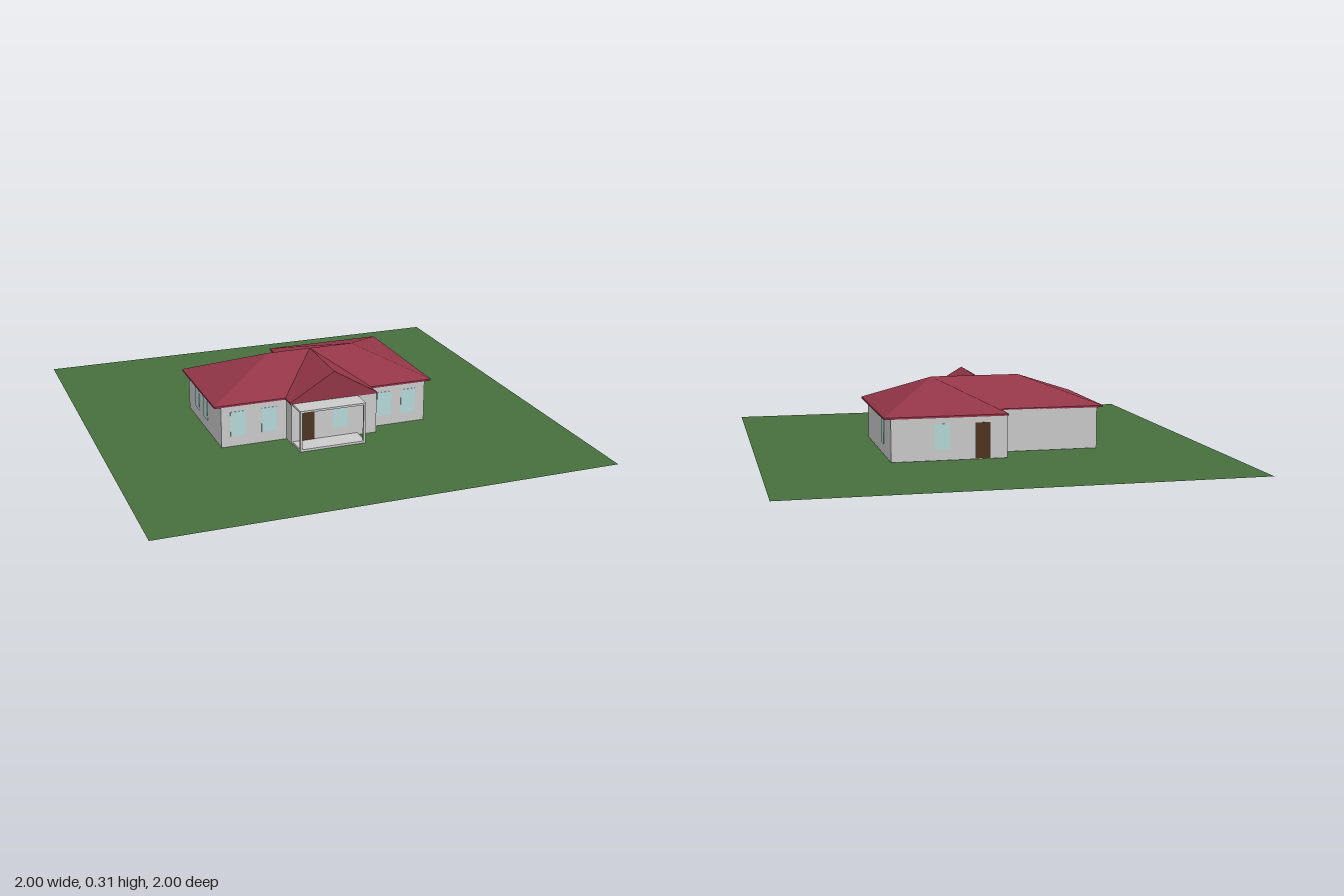
import * as THREE from 'three';

const paint = (color, side = THREE.FrontSide) =>
  new THREE.MeshStandardMaterial({ color, side, flatShading: true });

// Vertical prism over a floor outline given as [x, z] corners
function prism(outline, y0, y1) {
  const shape = new THREE.Shape(outline.map(([x, z]) => new THREE.Vector2(x, -z)));
  const geo = new THREE.ExtrudeGeometry(shape, { depth: y1 - y0, bevelEnabled: false });
  return geo.rotateX(-Math.PI / 2).translate(0, y0, 0);
}

// Flat facets, each a convex loop of corners, counter-clockwise from outside
function facets(loops) {
  const pos = [];
  for (const loop of loops)
    for (let i = 1; i < loop.length - 1; i++) pos.push(...loop[0], ...loop[i], ...loop[i + 1]);
  const geo = new THREE.BufferGeometry();
  geo.setAttribute('position', new THREE.Float32BufferAttribute(pos, 3));
  geo.computeVertexNormals();
  return geo;
}

export function createModel() {
  const house = new THREE.Group();
  house.name = 'house';
  const grey = paint(0xcccccc), red = paint(0x943648), glass = paint(0xb5dad8);
  const wood = paint(0x4f3520), grass = paint(0x47703f, THREE.DoubleSide);

  const add = (name, geo, mat, parent = house) => {
    const mesh = new THREE.Mesh(geo, mat);
    mesh.name = name;
    parent.add(mesh);
    return mesh;
  };
  const box = (name, mat, x0, x1, y0, y1, z0, z1, parent) =>
    add(name, new THREE.BoxGeometry(x1 - x0, y1 - y0, z1 - z0), mat, parent)
      .position.set((x0 + x1) / 2, (y0 + y1) / 2, (z0 + z1) / 2);

  // Lawn
  add('lawn', new THREE.PlaneGeometry(2, 2).rotateX(-Math.PI / 2), grass);

  // Walls, including the front bay and the stepped back
  add('walls', prism([[-0.5, -0.25], [-0.055, -0.25], [-0.055, -0.387], [0.45, -0.387], [0.45, 0.263],
    [0.19, 0.263], [0.19, 0.328], [-0.205, 0.328], [-0.205, 0.263], [-0.5, 0.263]], 0.002, 0.188), grey);

  // Eaves board under the roof
  const eave = 0.193, top = 0.312;
  add('eaves', prism([[-0.53, -0.25], [-0.06, -0.25], [-0.06, -0.39], [0.48, -0.39], [0.48, 0.265],
    [0.19, 0.265], [0.19, 0.33], [-0.21, 0.33], [-0.21, 0.265], [-0.53, 0.265]], 0.185, eave), red);

  // Hipped main roof
  const at = (x, z) => [x, eave, z];
  const ridgeL = [-0.2, top, 0], ridgeR = [0.2, top, 0];
  const frontL = at(-0.53, 0.265), frontR = at(0.48, 0.265);
  const backL = at(-0.53, -0.25), backR = at(0.48, -0.39);
  const stepIn = at(-0.06, -0.25), stepOut = at(-0.06, -0.39);
  add('mainRoof', facets([
    [frontL, frontR, ridgeR, ridgeL],
    [backL, frontL, ridgeL],
    [frontR, backR, ridgeR],
    [stepIn, backL, ridgeL, ridgeR],
    [stepOut, stepIn, ridgeR],
    [backR, stepOut, ridgeR],
  ]), red);

  // Gable over the front bay
  const apex = [0, top, 0], peak = [-0.01, top, 0.33];
  const gl = at(-0.21, 0.33), gr = at(0.19, 0.33);
  add('frontGable', facets([
    [apex, at(-0.21, 0.265), gl, peak],
    [peak, gr, at(0.19, 0.265), apex],
    [gl, gr, peak],
  ]), red);

  // Porch: floor, flat canopy and corner posts
  const porch = new THREE.Group();
  porch.name = 'porch';
  house.add(porch);
  box('porchFloor', grey, -0.2, 0.1, 0.002, 0.012, 0.328, 0.425, porch);
  box('porchCanopy', grey, -0.2, 0.1, 0.178, 0.187, 0.328, 0.425, porch);
  for (const x of [-0.2, 0.09])
    box('porchPost', grey, x, x + 0.01, 0.012, 0.178, 0.415, 0.425, porch);

  // Windows: set along a wall facing z or x
  const lo = 0.05, hi = 0.16, t = 0.002;
  const facingZ = (x, z, w = 0.068) => box('window', glass, x - w / 2, x + w / 2, lo, hi, z - t, z + t);
  const facingX = (x, z, w = 0.065) => box('window', glass, x - t, x + t, lo, hi, z - w / 2, z + w / 2);
  for (const x of [-0.425, -0.285, 0.255, 0.37]) facingZ(x, 0.263);
  facingZ(0.02, 0.328);
  facingZ(0.23, -0.387);
  facingX(0.45, -0.17);
  for (const z of [-0.11, 0.02]) facingX(-0.5, z);

  // Front and back doors
  box('frontDoor', wood, -0.16, -0.1, 0.012, 0.16, 0.326, 0.33);
  box('backDoor', wood, 0.02, 0.085, 0.005, 0.16, -0.389, -0.385);

  return house;
}
